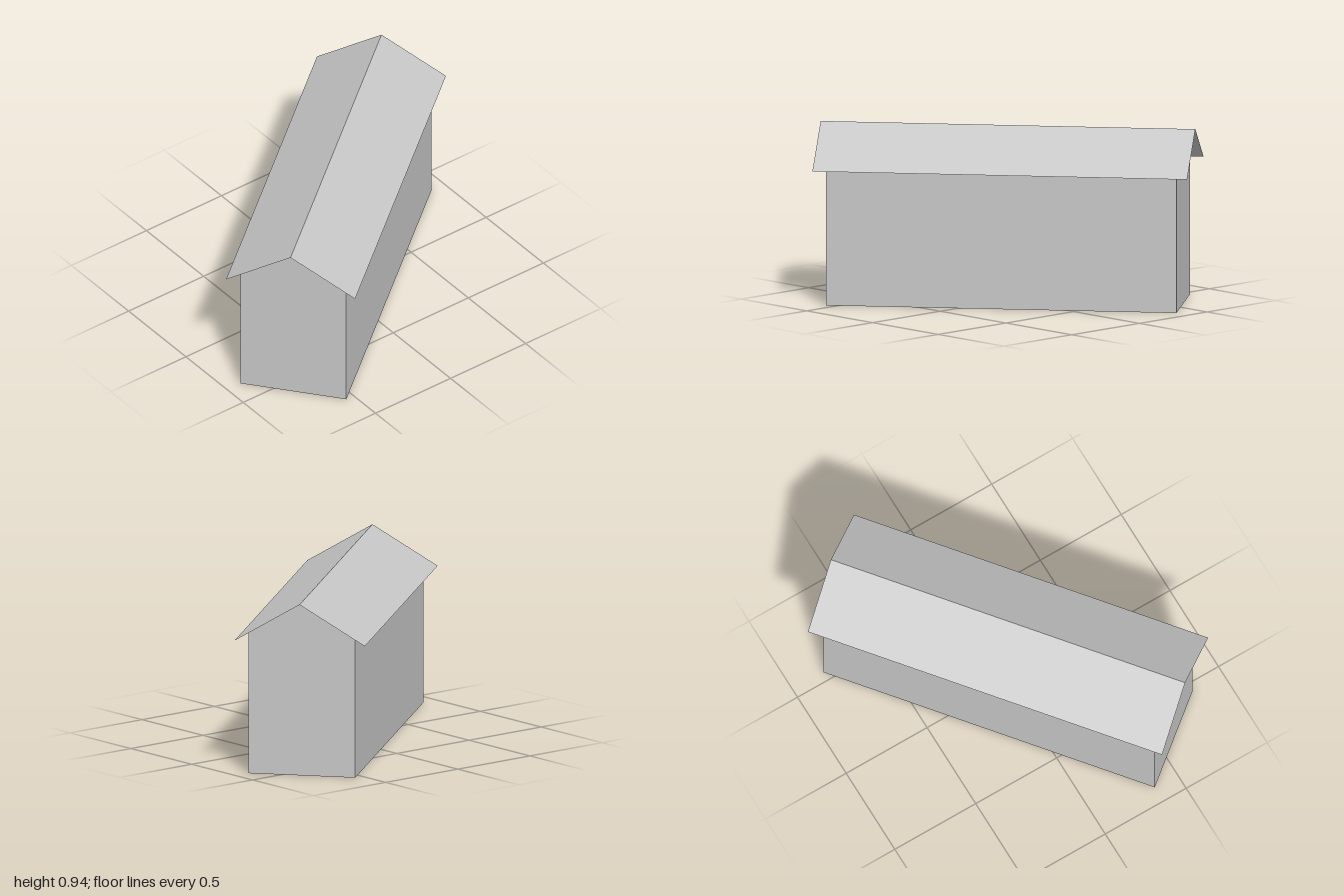
import * as THREE from 'three';

// Gabled shed: open-bottomed thin walls under a thin overhanging roof, turned on its plot
export function createModel() {
  const grey = new THREE.MeshStandardMaterial({ color: 0xc8c8c8, side: THREE.DoubleSide });
  grey.name = 'plain grey';

  const ridge = 0.94, eave = 0.73;          // roof heights
  const roofW = 0.352, roofL = 1.0;         // roof half width and half length
  const wallW = 0.288, wallL = 0.935;       // wall half width and half length
  const wallH = ridge - (ridge - eave) * wallW / roofW;

  const shed = new THREE.Group();
  shed.name = 'shed';
  const add = (name, geometry) => {
    const mesh = new THREE.Mesh(geometry, grey);
    mesh.name = name;
    shed.add(mesh);
    return mesh;
  };

  // Gable outline, meeting the underside of the roof
  const gable = new THREE.Shape([
    new THREE.Vector2(-wallW, 0), new THREE.Vector2(wallW, 0),
    new THREE.Vector2(wallW, wallH), new THREE.Vector2(0, ridge - 0.001),
    new THREE.Vector2(-wallW, wallH),
  ]);

  const slope = Math.atan2(ridge - eave, roofW);
  const slopeLength = Math.hypot(ridge - eave, roofW);

  for (const s of [1, -1]) {
    const side = s > 0 ? 'left' : 'right';

    // Long side wall
    const wall = add(side + 'Wall', new THREE.PlaneGeometry(2 * wallL, wallH));
    wall.position.set(s * wallW, wallH / 2, 0);
    wall.rotation.y = s * Math.PI / 2;

    // End wall with gable
    const end = add(s > 0 ? 'frontGable' : 'backGable', new THREE.ShapeGeometry(gable));
    end.position.z = s * wallL;
    end.rotation.y = s > 0 ? 0 : Math.PI;

    // Roof slope from ridge to eave
    const panel = new THREE.PlaneGeometry(slopeLength, 2 * roofL);
    panel.rotateX(-Math.PI / 2);
    const roof = add(side + 'Roof', panel);
    roof.position.set(s * roofW / 2, (ridge + eave) / 2, 0);
    roof.rotation.z = -s * slope;
  }

  shed.rotation.y = Math.atan2(0.625, 0.78);
  const model = new THREE.Group();
  model.name = 'model';
  model.add(shed);
  return model;
}
